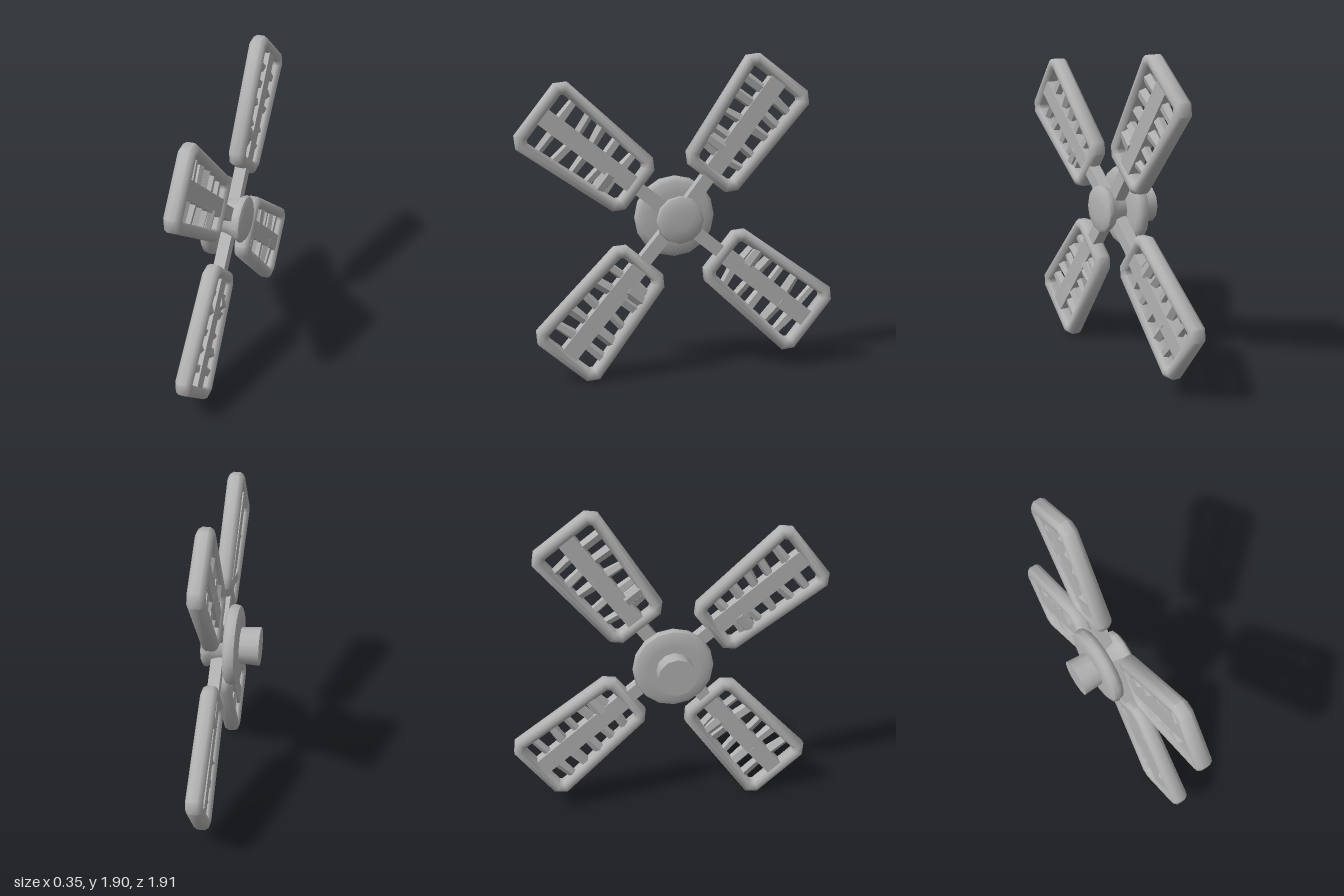
import * as THREE from 'three';
import { toCreasedNormals } from 'three/addons/utils/BufferGeometryUtils.js';

const grey = new THREE.MeshStandardMaterial({ color: 0xb2b2b2 });
grey.name = 'plain grey';

function part(name, geometry, crease = 0.7) {
  const mesh = new THREE.Mesh(toCreasedNormals(geometry, crease), grey);
  mesh.name = name;
  return mesh;
}

// Turned part about the x axis, from [x, radius] pairs
function turned(name, profile, sides, crease) {
  const g = new THREE.LatheGeometry(profile.map(([x, r]) => new THREE.Vector2(r, x)), sides);
  g.rotateZ(-Math.PI / 2);
  return part(name, g, crease);
}

const MID = 0.07, R0 = 0.29, R1 = 1.06, W0 = 0.195, W1 = 0.24;

// Chamfered, tapering outline of the sail, pulled in by an inset; [z, y] pairs
function outline(t) {
  const c = 0.055 - 0.586 * t, a = W0 - t, b = W1 - t, y0 = R0 + t, y1 = R1 - t;
  return [[-b + c, y1], [b - c, y1], [b, y1 - c], [a, y0 + c],
    [a - c, y0], [-a + c, y0], [-a, y0 + c], [-b, y1 - c]];
}

// Rounded rail swept round the outline
function frameGeometry() {
  const section = [[0, -0.022], [0, 0.022], [0.012, 0.042], [0.032, 0.051], [0.054, 0.046],
    [0.068, 0.03], [0.068, -0.03], [0.054, -0.046], [0.032, -0.051], [0.012, -0.042]];
  const n = section.length, pos = [], idx = [];
  for (const [t, x] of section) for (const [z, y] of outline(t)) pos.push(MID + x, y, z);
  for (let k = 0; k < n; k++) {
    for (let j = 0; j < 8; j++) {
      const k2 = (k + 1) % n, j2 = (j + 1) % 8;
      const a = k * 8 + j, b = k * 8 + j2, c = k2 * 8 + j, d = k2 * 8 + j2;
      idx.push(a, b, c, b, d, c);
    }
  }
  const g = new THREE.BufferGeometry();
  g.setAttribute('position', new THREE.Float32BufferAttribute(pos, 3));
  g.setIndex(idx);
  g.computeVertexNormals();
  return g;
}

function createSail(seed) {
  let s = seed;
  const rand = () => (s = (s * 16807) % 2147483647) / 2147483647;
  const sail = new THREE.Group();
  sail.name = 'sail';
  sail.add(part('sailFrame', frameGeometry(), 0.9));

  // Centre spar
  const spar = new THREE.BoxGeometry(0.075, R1 - R0 - 0.06, 0.105);
  spar.translate(MID, (R0 + R1) / 2, 0);
  sail.add(part('spar', spar));

  // Rough faceted slats on both sides of the spar
  for (const side of [-1, 1]) {
    for (let i = 0; i < 5; i++) {
      const y = R0 + 0.16 + i * 0.113;
      const half = W0 + (W1 - W0) * (y - R0) / (R1 - R0) - 0.04;
      const g = new THREE.CylinderGeometry(0.024 + rand() * 0.014, 0.026 + rand() * 0.016, half, 5);
      g.rotateY(rand() * 6);
      g.rotateX(side * Math.PI / 2 + (rand() - 0.5) * 0.3);
      g.translate(MID, y + (rand() - 0.5) * 0.02, side * half / 2);
      sail.add(part('slat', g, 0.1));
    }
    // Larger lump close to the hub end on one side
    if (side > 0) {
      const lump = new THREE.CylinderGeometry(0.042, 0.05, 0.13, 7);
      lump.rotateX(Math.PI / 2);
      lump.translate(MID, R0 + 0.2, 0.1);
      sail.add(part('thickSlat', lump));
    }
  }
  return sail;
}

export function createModel() {
  const model = new THREE.Group();
  model.name = 'windmillRotor';
  const rotor = new THREE.Group();
  rotor.name = 'rotor';
  rotor.position.y = 1;
  model.add(rotor);

  // Hub: rear shaft, rounded flange and front cap
  rotor.add(turned('shaft', [[-0.175, 0], [-0.175, 0.115], [-0.06, 0.108], [-0.03, 0.108]], 12, 0.6));
  rotor.add(turned('flange', [[-0.055, 0], [-0.06, 0.15], [-0.058, 0.205], [-0.045, 0.235],
    [-0.015, 0.243], [0.01, 0.235], [0.025, 0.21], [0.03, 0.15], [0.03, 0]], 16, 0.8));
  rotor.add(turned('hubCap', [[0.02, 0], [0.02, 0.112], [0.06, 0.112], [0.11, 0.128],
    [0.135, 0.142], [0.155, 0.138], [0.168, 0.115], [0.173, 0.06], [0.175, 0]], 12, 0.7));

  // Four sails on short arms: [angle in degrees, extra reach]
  const sails = [[53, 0], [142, 0], [230, 0.02], [321, 0.025]];
  sails.forEach(([angle, reach], i) => {
    const blade = new THREE.Group();
    blade.name = 'blade';
    blade.rotation.x = THREE.MathUtils.degToRad(angle - 90);
    const arm = new THREE.BoxGeometry(0.07, 0.3, 0.078);
    arm.translate(MID, 0.2, 0);
    blade.add(part('arm', arm));
    const sail = createSail(1234 + i * 9871);
    sail.position.y = reach;
    blade.add(sail);
    rotor.add(blade);
  });
  return model;
}
